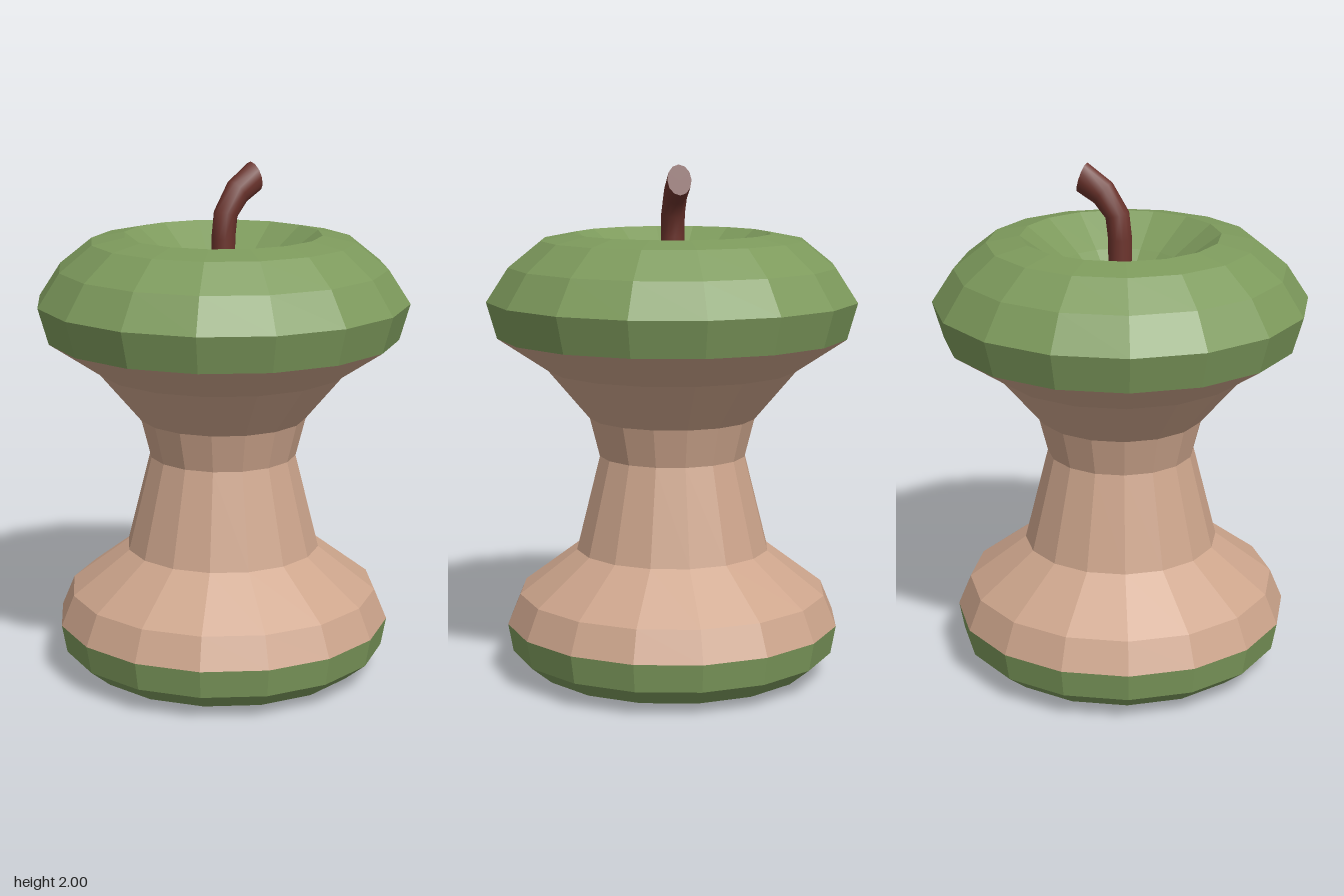
import * as THREE from 'three';

const SIDES = 16;

const material = (color, flatShading) => new THREE.MeshStandardMaterial({ color, flatShading });

// Faceted ring of the fruit; the profile runs from bottom to top as [radius, y]
function turned(name, profile, mat) {
  const points = profile.map(([r, y]) => new THREE.Vector2(r, y));
  const mesh = new THREE.Mesh(new THREE.LatheGeometry(points, SIDES), mat);
  mesh.name = name;
  return mesh;
}

// Bent stalk: oval cross-sections, each with a centre (x, y) and a half-width (ux, uy)
function stalkGeometry(sections, halfDepth, sides) {
  const positions = [];
  const index = [];
  const addRing = ([x, y, ux, uy]) => {
    for (let j = 0; j < sides; j++) {
      const a = (j / sides) * Math.PI * 2;
      positions.push(x + Math.cos(a) * ux, y + Math.cos(a) * uy, Math.sin(a) * halfDepth);
    }
  };
  sections.forEach(addRing);
  for (let i = 0; i < sections.length - 1; i++) {
    for (let j = 0; j < sides; j++) {
      const a = i * sides + j;
      const b = i * sides + ((j + 1) % sides);
      index.push(a, a + sides, b, b, a + sides, b + sides);
    }
  }
  // Cut end, with its own vertices for a sharp edge
  const last = sections[sections.length - 1];
  const start = positions.length / 3;
  addRing(last);
  positions.push(last[0], last[1], 0);
  for (let j = 0; j < sides; j++) {
    index.push(start + sides, start + ((j + 1) % sides), start + j);
  }
  const geometry = new THREE.BufferGeometry();
  geometry.setAttribute('position', new THREE.Float32BufferAttribute(positions, 3));
  geometry.setIndex(index);
  geometry.computeVertexNormals();
  return geometry;
}

export function createModel() {
  const group = new THREE.Group();
  group.name = 'appleCore';
  const skin = material(0x7d9a5c, true);
  const flesh = material(0xcda58c, true);

  // Lower peel with the hollow underneath
  group.add(turned('lowerPeel', [
    [0, 0.14], [0.16, 0.14], [0.23, 0.05], [0.37, 0],
    [0.55, 0.03], [0.635, 0.1], [0.655, 0.21],
  ], skin));

  // Bitten flesh
  group.add(turned('flesh', [
    [0.655, 0.21], [0.605, 0.33], [0.38, 0.5], [0.287, 0.87],
    [0.325, 1.02], [0.485, 1.21], [0.68, 1.34],
  ], flesh));

  // Upper peel with the dimple around the stalk
  group.add(turned('upperPeel', [
    [0.68, 1.34], [0.72, 1.48], [0.635, 1.61], [0.51, 1.71],
    [0.382, 1.735], [0.225, 1.62], [0, 1.42],
  ], skin));

  // Stalk
  const stalk = new THREE.Mesh(stalkGeometry([
    [0, 1.4, 0.046, 0],
    [0.003, 1.72, 0.046, 0],
    [0.014, 1.81, 0.045, -0.012],
    [0.07, 1.89, 0.033, -0.042],
    [0.153, 1.943, 0.018, -0.057],
  ], 0.046, 12), material(0x6b332c, false));
  stalk.name = 'stalk';
  group.add(stalk);

  return group;
}
